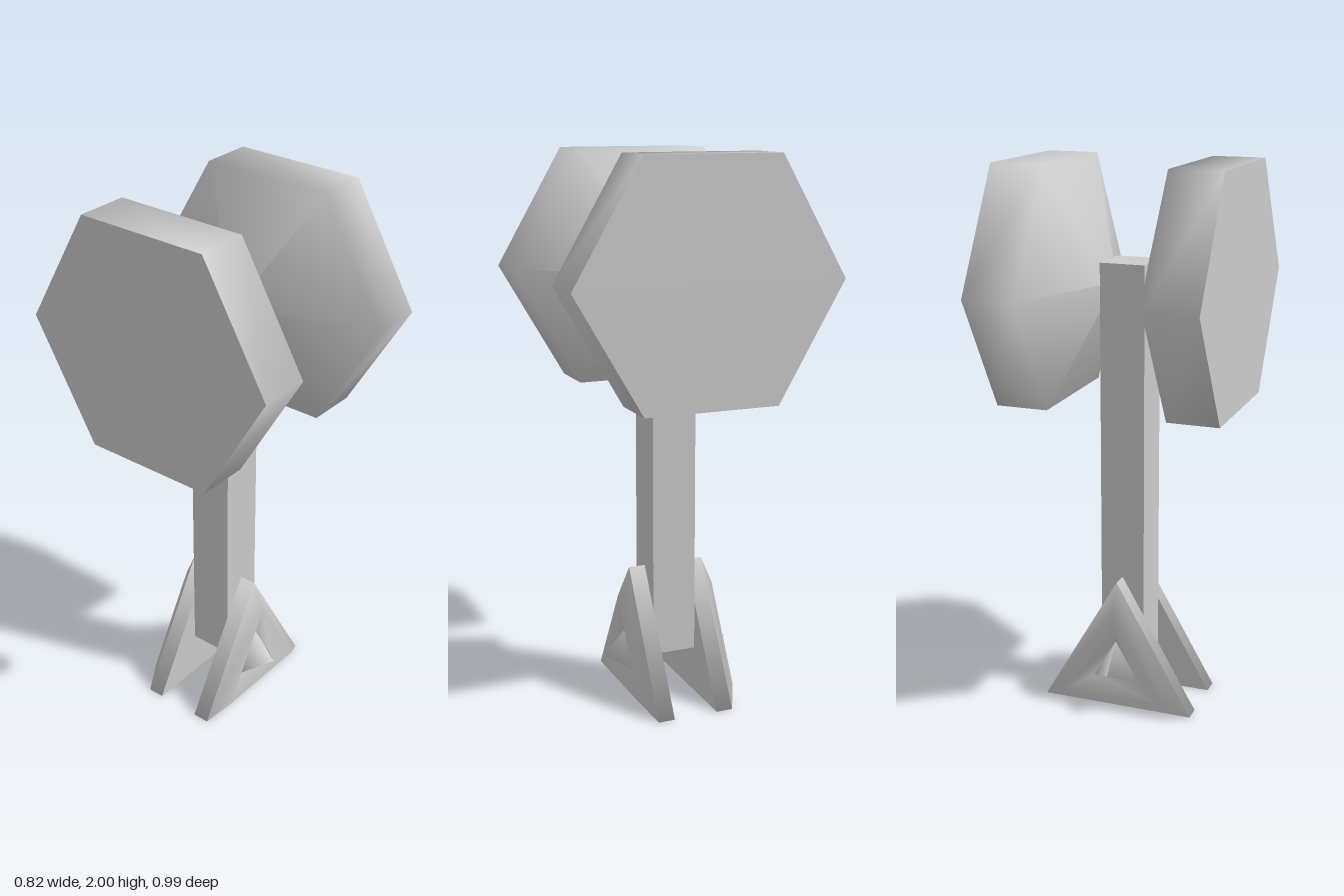
import * as THREE from 'three';
import { mergeGeometries } from 'three/addons/utils/BufferGeometryUtils.js';

// Faceted turned solid: each band is smooth within itself, with a sharp edge between bands.
// Profile points are [radius, height].
function turned(bands, sides, phiStart = 0) {
  return mergeGeometries(bands.map((band) =>
    new THREE.LatheGeometry(band.map(([r, h]) => new THREE.Vector2(r, h)), sides, phiStart)));
}

export function createModel() {
  const model = new THREE.Group();
  model.name = 'hammer';
  const material = new THREE.MeshStandardMaterial({ color: 0xcccccc });

  function add(name, geometry, y, turn = 0) {
    const mesh = new THREE.Mesh(geometry, material);
    mesh.name = name;
    mesh.position.y = y;
    mesh.rotation.y = turn;
    model.add(mesh);
  }

  // Square handle
  add('handle', new THREE.BoxGeometry(0.165, 1.482, 0.165), 0.914);

  // Hexagonal striking head, narrowing towards the handle
  const head = turned([
    [[0, 0.052], [0.488, 0.22], [0.488, 0.41]],
    [[0.488, 0.41], [0, 0.41]],
  ], 6);
  head.rotateZ(-Math.PI / 2);
  head.scale(1, 1, 1.01);

  // Triangular pommel plate: flat back, rim, bevel, dished face and central spike
  const plate = turned([
    [[0, 0.083], [0.33, 0.083]],
    [[0.33, 0.083], [0.33, 0.145]],
    [[0.33, 0.145], [0.225, 0.19], [0.1, 0.155]],
    [[0.1, 0.155], [0, 0.245]],
  ], 3, Math.PI);
  plate.rotateX(Math.PI / 2);

  // Both come in opposite pairs
  add('leftHead', head, 1.577);
  add('rightHead', head, 1.577, Math.PI);
  add('frontPommelPlate', plate, 0.165);
  add('backPommelPlate', plate, 0.165, Math.PI);

  return model;
}
